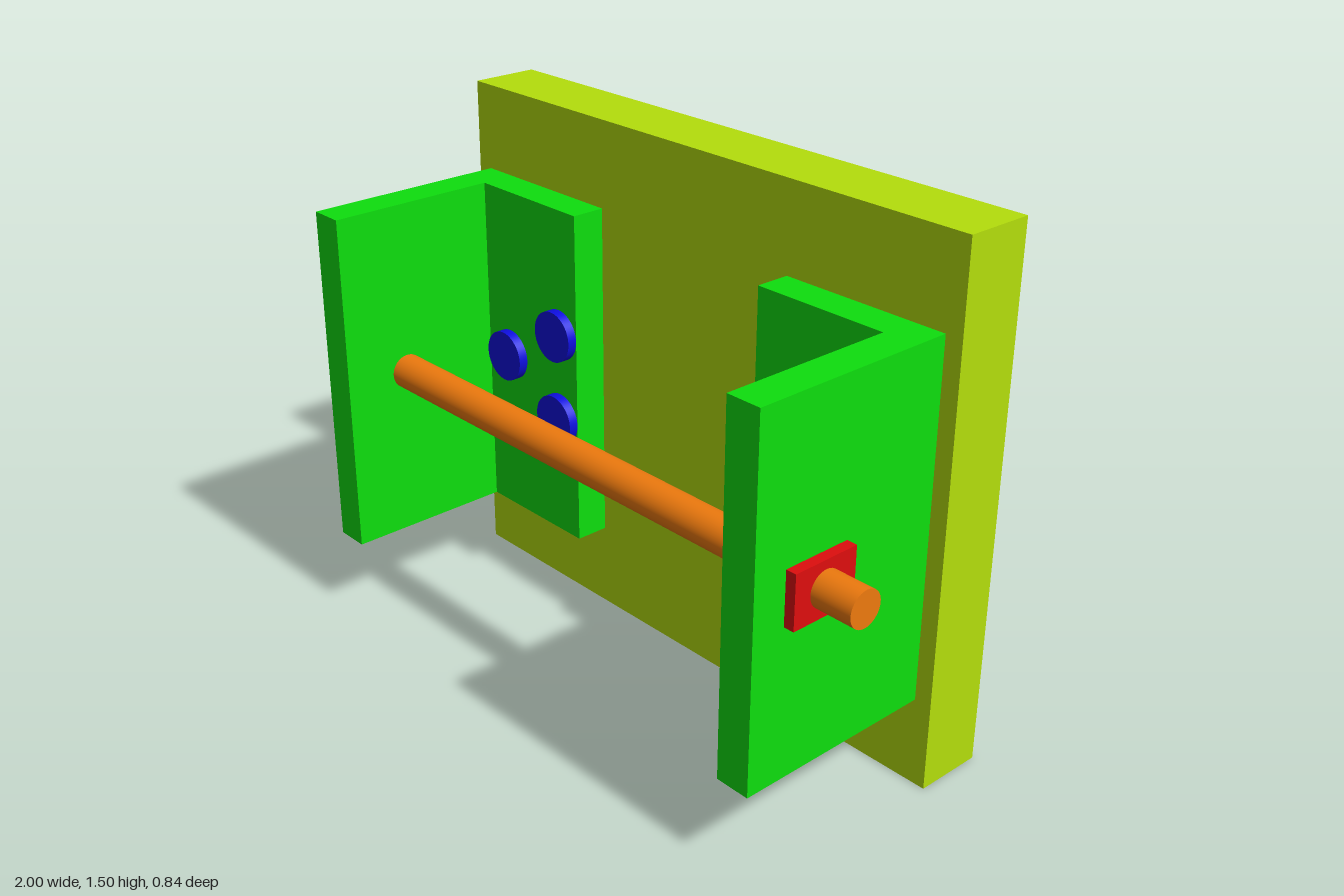
import * as THREE from 'three';

const paint = (color) => new THREE.MeshStandardMaterial({ color });

export function createModel() {
  const model = new THREE.Group();
  const yellow = paint(0xb4de0c), green = paint(0x0ede0e), red = paint(0xde0e0e);
  const blue = paint(0x0e0ede), orange = paint(0xee7a0e);

  const add = (name, geometry, material, x, y, z) => {
    const mesh = new THREE.Mesh(geometry, material);
    mesh.name = name;
    mesh.position.set(x, y, z);
    model.add(mesh);
  };
  const box = (w, h, d) => new THREE.BoxGeometry(w, h, d);

  // Back board
  add('backBoard', box(1.8, 1.5, 0.2), yellow, 0, 0.75, -0.28);

  // L-shaped bracket section, drawn in x and z and extruded upwards
  const bracket = (side) => {
    const points = [[0.35, -0.18], [0.85, -0.18], [0.85, 0.42], [0.75, 0.42], [0.75, -0.08], [0.35, -0.08]];
    const shape = new THREE.Shape(points.map(([x, z]) => new THREE.Vector2(side * x, -z)));
    return new THREE.ExtrudeGeometry(shape, { depth: 1, bevelEnabled: false }).rotateX(-Math.PI / 2);
  };

  // Bolt geometries, lying along z
  const head = new THREE.CylinderGeometry(0.075, 0.075, 0.03, 48).rotateX(Math.PI / 2);
  const shank = new THREE.CylinderGeometry(0.05, 0.05, 0.34, 48).rotateX(Math.PI / 2);
  const boltSpots = [[0.425, 0.88], [0.425, 0.62], [0.65, 0.75]];

  for (const side of [1, -1]) {
    const label = side > 0 ? 'left' : 'right';
    add(label + 'Bracket', bracket(side), green, 0, 0.25, 0);
    // Retaining nut outside the bracket
    add(label + 'RodNut', box(0.03, 0.15, 0.2), red, side * 0.865, 0.75, 0.22);
    // Three bolts through bracket and board, with nuts on the back
    boltSpots.forEach(([x, y], i) => {
      add(`${label}BoltHead${i + 1}`, head, blue, side * x, y, -0.067);
      add(`${label}BoltShank${i + 1}`, shank, blue, side * x, y, -0.25);
      add(`${label}BoltNut${i + 1}`, box(0.2, 0.15, 0.03), red, side * x, y, -0.395);
    });
  }

  // Cross rod through both brackets
  add('crossRod', new THREE.CylinderGeometry(0.05, 0.05, 2, 48).rotateZ(Math.PI / 2), orange, 0, 0.75, 0.22);

  return model;
}
